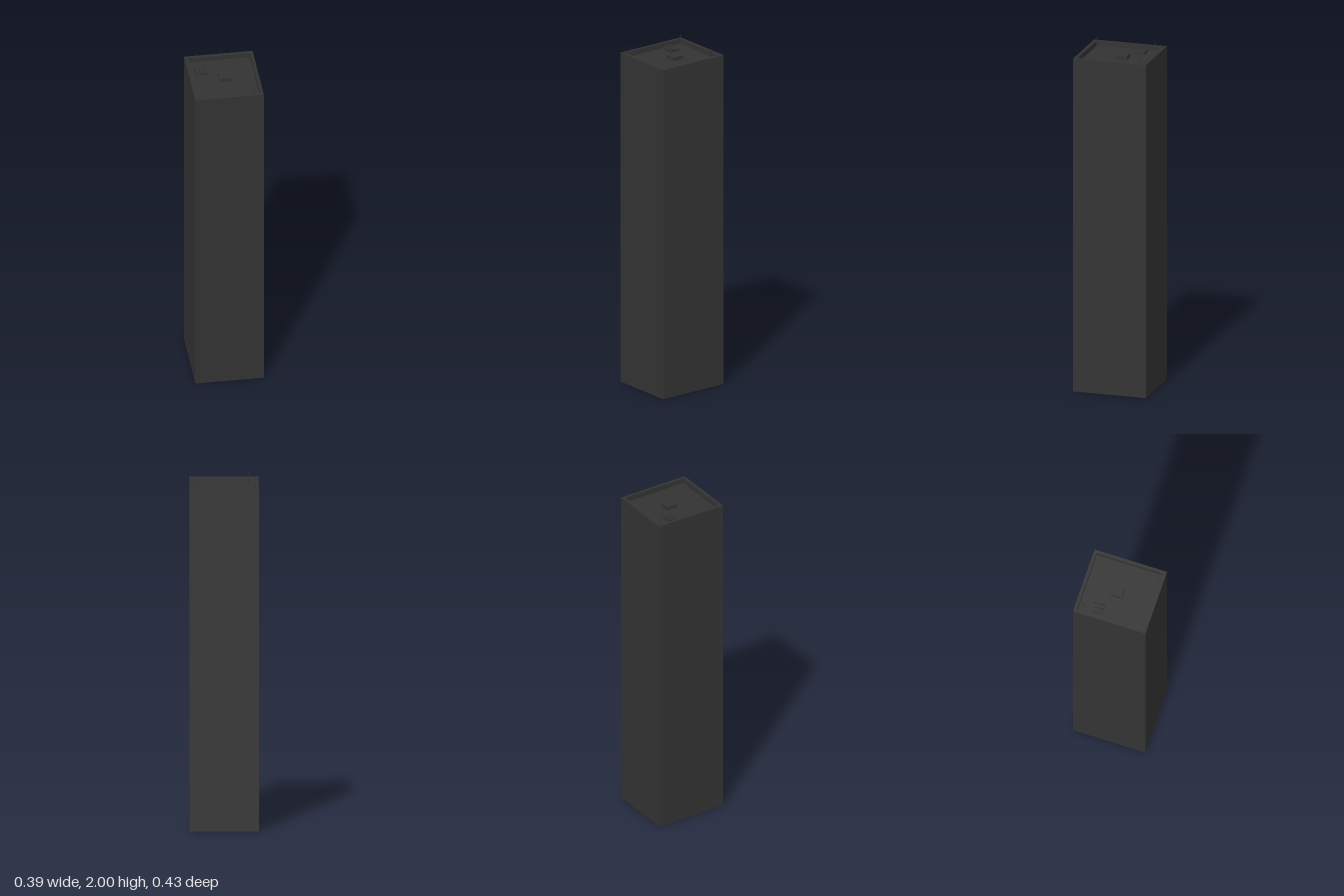
import * as THREE from 'three';

export function createModel() {
  const group = new THREE.Group();
  const charcoal = new THREE.MeshStandardMaterial({ color: 0x333333 });
  charcoal.name = 'charcoal';

  const W = 0.39, D = 0.43, TOP = 1.96, ROOF = 1.93;

  const add = (name, geometry, x, y, z) => {
    const mesh = new THREE.Mesh(geometry, charcoal);
    mesh.name = name;
    mesh.position.set(x, y, z);
    group.add(mesh);
    return mesh;
  };
  // Box standing on height y
  const box = (name, w, h, d, x, y, z) =>
    add(name, new THREE.BoxGeometry(w, h, d), x, y + h / 2, z);

  const rect = (path, x0, z0, x1, z1) => {
    path.moveTo(x0, z0);
    path.lineTo(x1, z0);
    path.lineTo(x1, z1);
    path.lineTo(x0, z1);
    path.closePath();
    return path;
  };

  // Outer walls and parapet: a square tube around the sunken roof
  const outline = rect(new THREE.Shape(), -W / 2, -D / 2, W / 2, D / 2);
  outline.holes.push(rect(new THREE.Path(), -0.178, -0.195, 0.178, 0.197));
  const walls = new THREE.ExtrudeGeometry(outline, { depth: TOP, bevelEnabled: false });
  walls.rotateX(-Math.PI / 2);
  add('towerWalls', walls, 0, 0, 0);

  // Core closing the base and forming the roof deck
  box('roofDeckCore', 0.356, ROOF, 0.392, 0, 0, -0.001);

  // Rooftop equipment
  box('roofHousing', 0.067, 0.022, 0.073, 0.005, ROOF, -0.017);
  [[-0.144, -0.087], [-0.117, -0.087], [-0.091, -0.089]].forEach(([x, z]) =>
    box('ventUnit', 0.017, 0.018, 0.06, x, ROOF, z));

  // Corner antennas
  for (const x of [-0.139, 0.147])
    for (const z of [-0.168, 0.178])
      add('antenna', new THREE.CylinderGeometry(0.0015, 0.0015, 2 - ROOF, 6), x, (2 + ROOF) / 2, z);

  return group;
}
